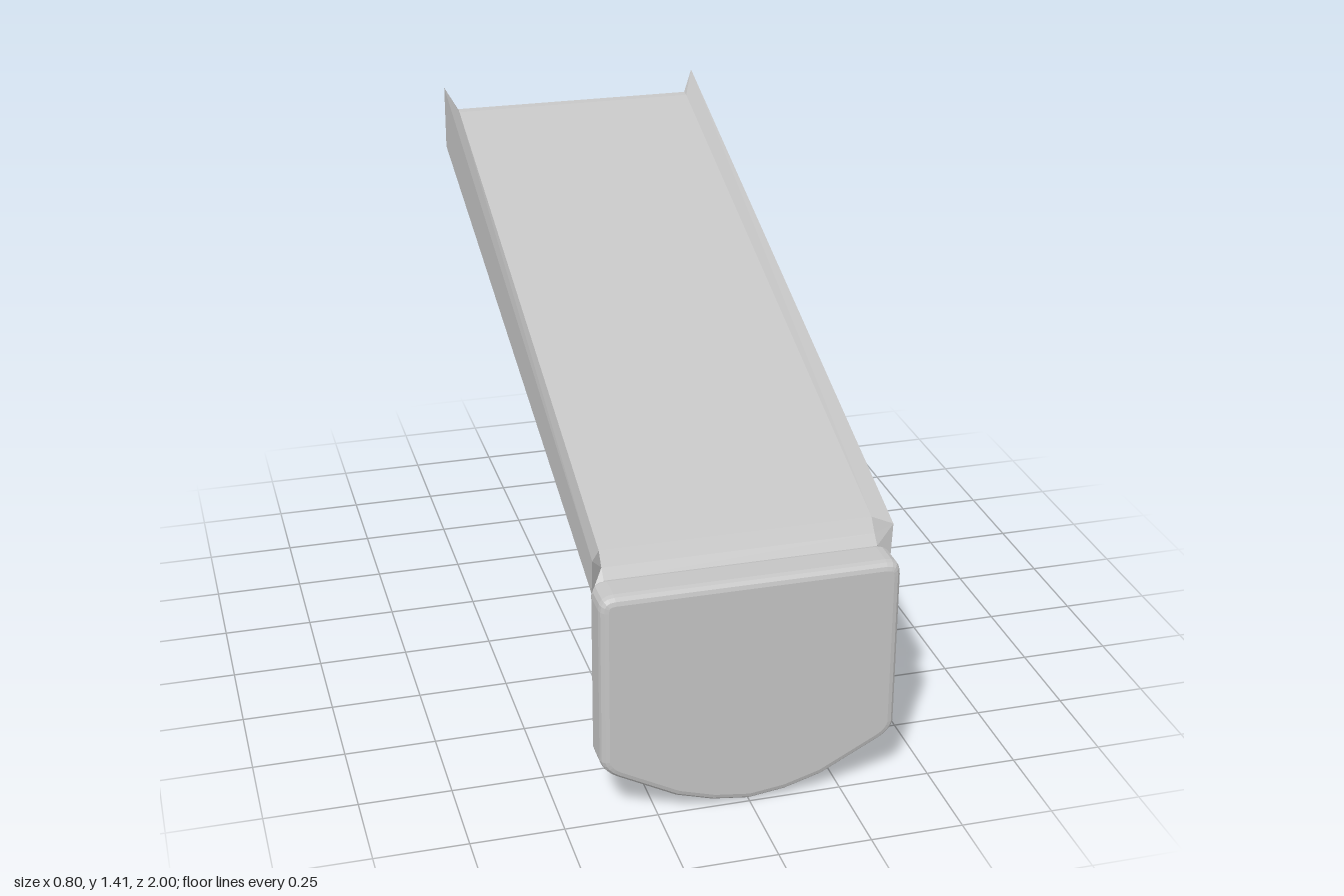
import * as THREE from 'three';

export function createModel() {
  const group = new THREE.Group();
  const grey = new THREE.MeshStandardMaterial({ color: 0xc4c4c4, side: THREE.DoubleSide });
  grey.name = 'lightGrey';
  const add = (name, geometry) => {
    const mesh = new THREE.Mesh(geometry, grey);
    mesh.name = name;
    group.add(mesh);
    return mesh;
  };

  // Front plate: straight sides, curved bottom, rounded edges
  const plate = new THREE.Shape();
  plate.moveTo(-0.4, 0.18);
  plate.quadraticCurveTo(-0.395, 0.15, -0.36, 0.13);
  for (const [x, y] of [[-0.2, 0.045], [-0.1, 0.015], [0, 0.002], [0.1, 0.015], [0.2, 0.045], [0.36, 0.13]]) plate.lineTo(x, y);
  plate.quadraticCurveTo(0.395, 0.15, 0.4, 0.18);
  plate.lineTo(0.4, 0.62);
  plate.quadraticCurveTo(0.4, 0.66, 0.36, 0.66);
  plate.lineTo(-0.36, 0.66);
  plate.quadraticCurveTo(-0.4, 0.66, -0.4, 0.62);
  plate.closePath();
  const plateGeo = new THREE.ExtrudeGeometry(plate, {
    depth: 0.07, bevelEnabled: true, bevelThickness: 0.025, bevelSize: 0.022,
    bevelOffset: -0.022, bevelSegments: 3, curveSegments: 4,
  });
  plateGeo.translate(0, 0, 0.905);
  add('frontPlate', plateGeo);

  // Section loops as [z, y]; the rim corners flare out from the deck slab
  const A = [0.92, 0.73], B = [-1, 1.41], C = [-1, 1.22], D = [0.91, 0.632];
  const slab = [[0.85, 0.72], [-0.935, 1.347], [-0.96, 1.35], [-0.967, 1.29],
    [-0.94, 1.236], [0.88, 0.655], [0.9, 0.66], [0.876, 0.685]];
  const rim = [A, B, B, C, C, D, D, A];

  const facets = (quads) => {
    const pos = [];
    for (const [a, b, c, d] of quads) pos.push(...a, ...b, ...c, ...a, ...c, ...d);
    const geo = new THREE.BufferGeometry();
    geo.setAttribute('position', new THREE.Float32BufferAttribute(pos, 3));
    geo.computeVertexNormals();
    return geo;
  };
  const at = (x, [z, y]) => [x, y, z];
  const loft = (x0, ring0, x1, ring1) => ring0.map((p, i) => {
    const j = (i + 1) % ring0.length;
    return [at(x0, p), at(x1, ring1[i]), at(x1, ring1[j]), at(x0, ring0[j])];
  });

  // Sloping deck and its two flared side rims
  add('deck', facets(loft(-0.366, slab, 0.366, slab)));
  add('rightRim', facets([...loft(-0.4, rim, -0.366, slab), [A, B, C, D].map((p) => at(-0.4, p))]));
  add('leftRim', facets([...loft(0.366, slab, 0.4, rim), [A, D, C, B].map((p) => at(0.4, p))]));

  // Thin brace below the left rim only
  const brace = [[-0.42, 1.042], [0.91, 0.632], [0.91, 0.18], [0.88, 0.195]];
  add('sideBrace', facets([brace.map((p) => at(0.4, p)).reverse()]));

  return group;
}
